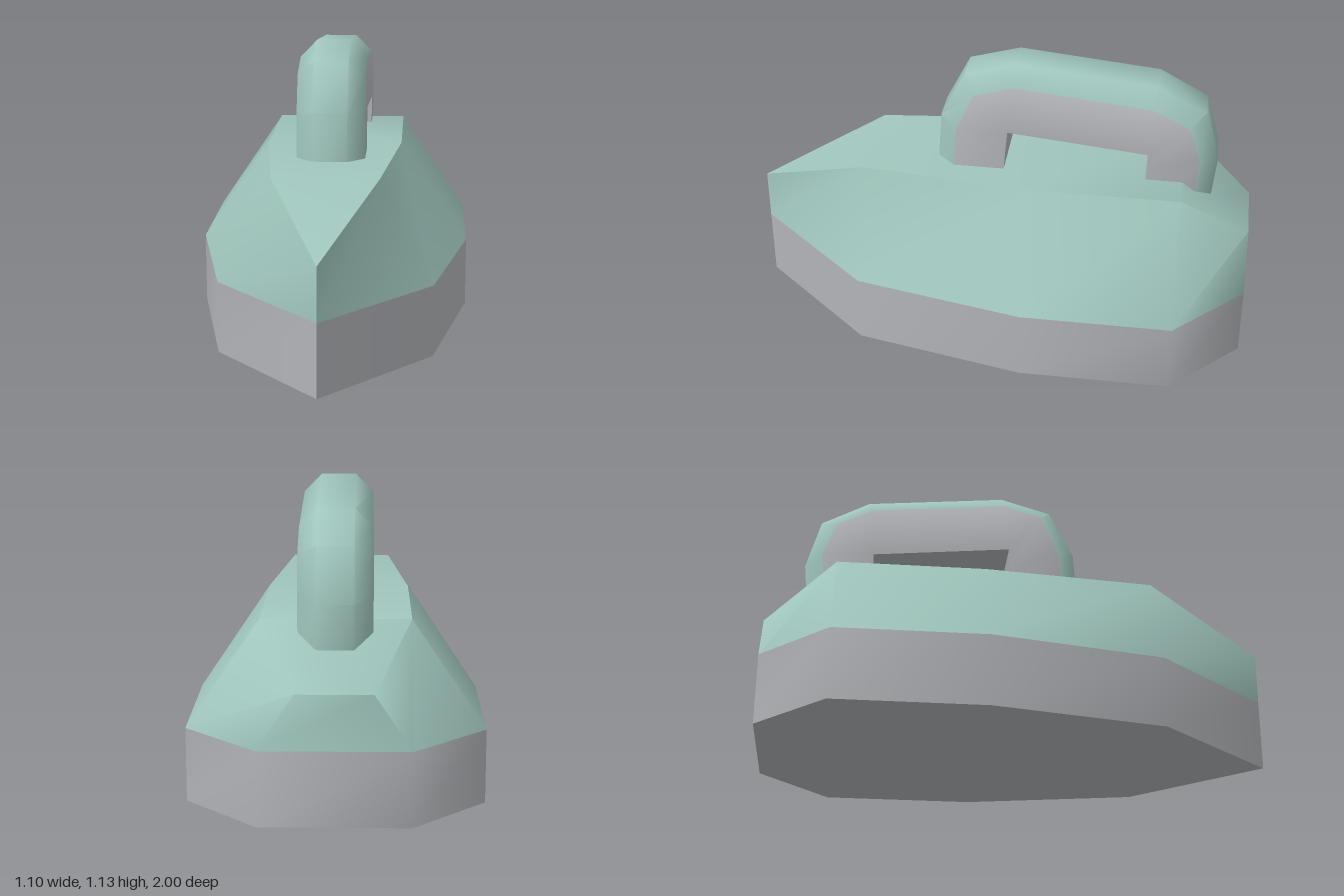
import * as THREE from 'three';
import { toCreasedNormals } from 'three/addons/utils/BufferGeometryUtils.js';

const material = (name, color) => new THREE.MeshStandardMaterial({ name, color });

// Triangulates lists of polygons (one list per material) into one creased geometry
function facesToGeometry(...lists) {
  const positions = [];
  const geometry = new THREE.BufferGeometry();
  lists.forEach((faces, materialIndex) => {
    const start = positions.length / 3;
    for (const f of faces) {
      for (let i = 1; i < f.length - 1; i++) positions.push(...f[0], ...f[i], ...f[i + 1]);
    }
    geometry.addGroup(start, positions.length / 3 - start, materialIndex);
  });
  geometry.setAttribute('position', new THREE.Float32BufferAttribute(positions, 3));
  return toCreasedNormals(geometry, THREE.MathUtils.degToRad(50));
}

// Full pointed outline from the tip and the points of the left half
const outline = (tip, half) => [tip, ...half, ...half.map(([x, y, z]) => [-x, y, z]).reverse()];

const walls = (low, high) => low.map((p, i) => {
  const j = (i + 1) % low.length;
  return [p, low[j], high[j], high[i]];
});

// Bands across a nine-point outline, from tip to heel
const cap = (r) => [[0, 1, 8], [1, 2, 7, 8], [2, 3, 6, 7], [3, 4, 5, 6]].map((f) => f.map((i) => r[i]));

export function createModel() {
  const model = new THREE.Group();
  model.name = 'clothesIron';
  const teal = material('paleTeal', 0x9fc5bc);
  const grey = material('lightGrey', 0xb2b4b8);

  const add = (name, geometry, mat) => {
    const mesh = new THREE.Mesh(geometry, mat);
    mesh.name = name;
    model.add(mesh);
  };

  // Soleplate block
  const plan = [[0.41, 0.53], [0.55, -0.14], [0.55, -0.73], [0.275, -1]];
  const ringAt = (y) => outline([0, y, 1], plan.map(([x, z]) => [x, y, z]));
  const bottom = ringAt(0);
  const seam = ringAt(0.28);
  const underside = cap(bottom).map((f) => f.reverse());
  add('soleplate', facesToGeometry([...walls(bottom, seam), ...underside]), grey);

  // Sloping body, its top falling towards the tip and the heel
  const top = outline([0, 0.485, 1], [
    [0.205, 0.69, 0.53], [0.275, 0.69, -0.14], [0.275, 0.69, -0.725], [0.14, 0.485, -1],
  ]);
  add('body', facesToGeometry([...walls(seam, top), ...cap(top)]), teal);

  // Handle stations from front to back, as [z, y] on the back, bevel rim and inside
  const outer = [[0.26, 0.55], [0.237, 0.88], [0.14, 1.07], [-0.06, 1.127],
    [-0.61, 1.073], [-0.8, 0.97], [-0.857, 0.77], [-0.832, 0.5]];
  const rim = [[0.19, 0.55], [0.168, 0.85], [0.1, 1.01], [-0.06, 1.058],
    [-0.6, 1.003], [-0.74, 0.93], [-0.787, 0.79], [-0.762, 0.5]];
  const inner = [[-0.01, 0.55], [-0.028, 0.78], [-0.035, 0.857], [-0.035, 0.857],
    [-0.585, 0.803], [-0.585, 0.803], [-0.583, 0.75], [-0.575, 0.5]];
  const sections = outer.map((o, i) => {
    const half = [[0.068, o], [0.136, rim[i]], [0.136, inner[i]]].map(([x, [z, y]]) => [x, y, z]);
    return [...half, ...half.map(([x, y, z]) => [-x, y, z]).reverse()];
  });
  const shell = [];
  const grip = [];
  for (let s = 0; s < sections.length - 1; s++) {
    const a = sections[s], b = sections[s + 1];
    for (let k = 0; k < 6; k++) {
      const n = (k + 1) % 6;
      const list = k >= 1 && k <= 3 ? grip : shell;
      list.push([a[k], a[n], b[n], b[k]]);
    }
  }
  add('handle', facesToGeometry(shell, grip), [teal, grey]);

  return model;
}
